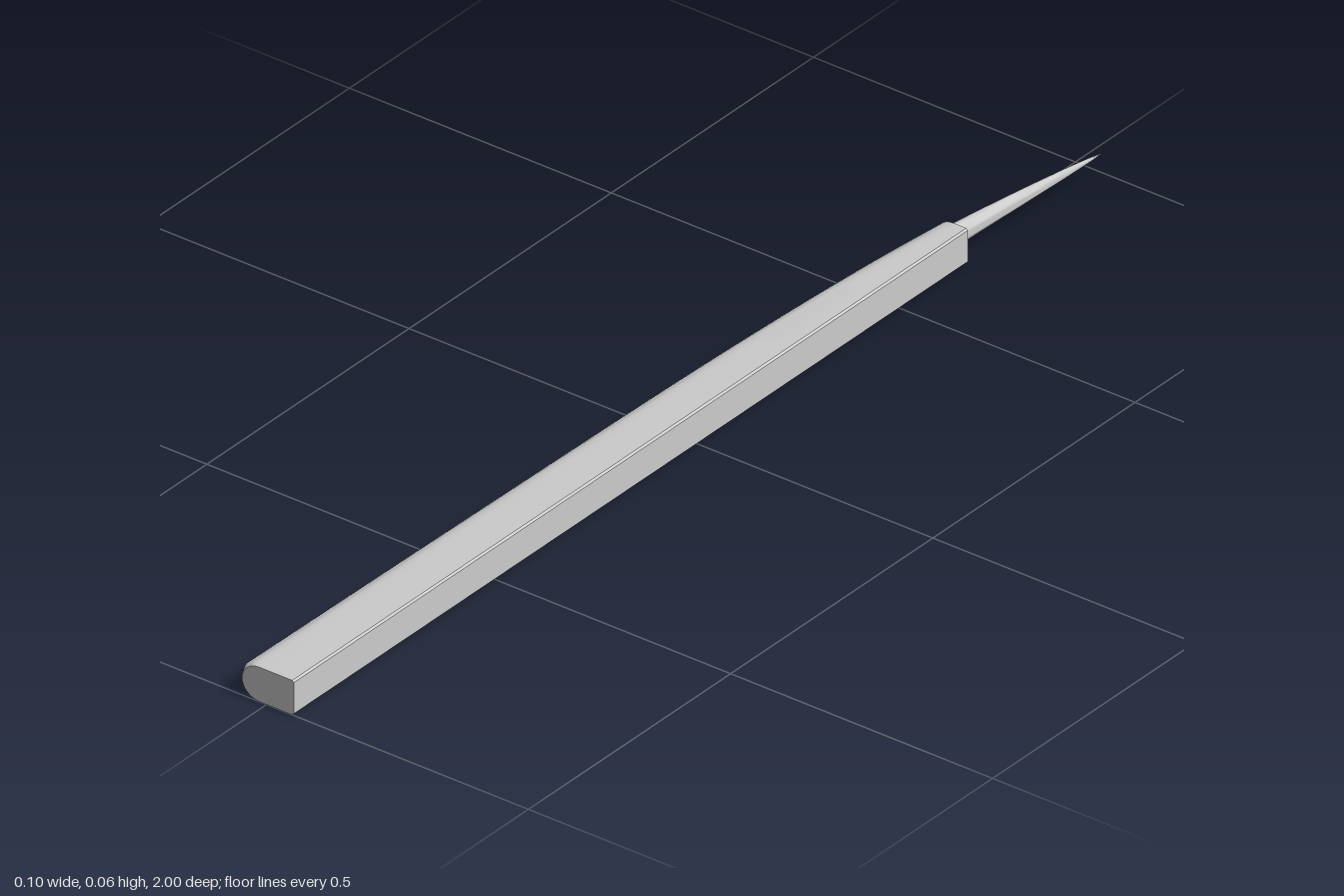
import * as THREE from 'three';
import { toCreasedNormals } from 'three/addons/utils/BufferGeometryUtils.js';

const HEIGHT = 0.061, RIGHT = 0.052, MID = HEIGHT / 2;

// Skin a list of closed counterclockwise rings running from +z to -z, with capped ends
function loft(rings) {
  const n = rings[0].length, index = [];
  const pos = rings.flat(2);
  for (let i = 0; i < rings.length - 1; i++) {
    for (let j = 0; j < n; j++) {
      const k = (j + 1) % n;
      const a = i * n + j, b = i * n + k, c = a + n, d = b + n;
      index.push(a, c, b, b, c, d);
    }
  }
  [0, rings.length - 1].forEach((r) => {
    const centre = pos.length / 3;
    for (let c = 0; c < 3; c++) pos.push(rings[r].reduce((s, p) => s + p[c], 0) / n);
    for (let j = 0; j < n; j++) {
      const a = r * n + j, b = r * n + ((j + 1) % n);
      index.push(centre, ...(r === 0 ? [a, b] : [b, a]));
    }
  });
  const g = new THREE.BufferGeometry();
  g.setAttribute('position', new THREE.Float32BufferAttribute(pos, 3));
  g.setIndex(index);
  return toCreasedNormals(g, 0.6);
}

// D-shaped section: flat side at +x, rounded side at -x; power below 1 squares the curve
function handleRing(z, left, power = 0.8, inset = 0) {
  const r = RIGHT - inset, h = MID - inset, l = left + inset, bow = 0.034 - inset, e = 0.003;
  const pts = [[r - e, -h], [r, -h + e], [r, h - e], [r - e, h]];
  for (let i = 0; i <= 16; i++) {
    const a = Math.PI * (i / 16), c = Math.cos(a);
    pts.push([l + bow - bow * Math.pow(Math.sin(a), power), h * Math.sign(c) * Math.pow(Math.abs(c), power)]);
  }
  return pts.map(([x, y]) => [x, y + MID, z]);
}

export function createModel() {
  const group = new THREE.Group();
  const material = new THREE.MeshStandardMaterial({ color: 0xcccccc });
  const add = (name, geometry) => {
    const mesh = new THREE.Mesh(geometry, material);
    mesh.name = name;
    group.add(mesh);
  };

  // Handle: straight on one side, gently curved taper on the other
  const edge = new THREE.CatmullRomCurve3([
    [0.99, -0.052], [0.5, -0.047], [0, -0.04], [-0.2, -0.035],
    [-0.4, -0.026], [-0.55, -0.016], [-0.667, -0.005],
  ].map(([z, x]) => new THREE.Vector3(x, 0, z)));
  const rings = [handleRing(1, -0.047, 1)];
  for (const p of edge.getPoints(24)) rings.push(handleRing(p.z, p.x));
  // Shallow socket behind a thin rim
  rings.push(handleRing(-0.667, -0.005, 0.8, 0.004), handleRing(-0.655, -0.005, 0.8, 0.004));
  add('handle', loft(rings));

  // Spike: tapering point that leans towards the straight side
  const spike = [];
  for (let i = 0; i <= 16; i++) {
    const t = i / 16, s = Math.pow(1 - t, 0.7), ring = [];
    const cx = 0.02 + 0.031 * Math.pow(t, 1.15);
    const cy = 0.0355 - 0.001 * t;
    for (let j = 0; j < 24; j++) {
      const a = (j / 24) * Math.PI * 2;
      ring.push([cx + 0.016 * s * Math.cos(a), cy + 0.0195 * s * Math.sin(a), -0.65 - 0.35 * t]);
    }
    spike.push(ring);
  }
  add('spike', loft(spike));
  return group;
}
